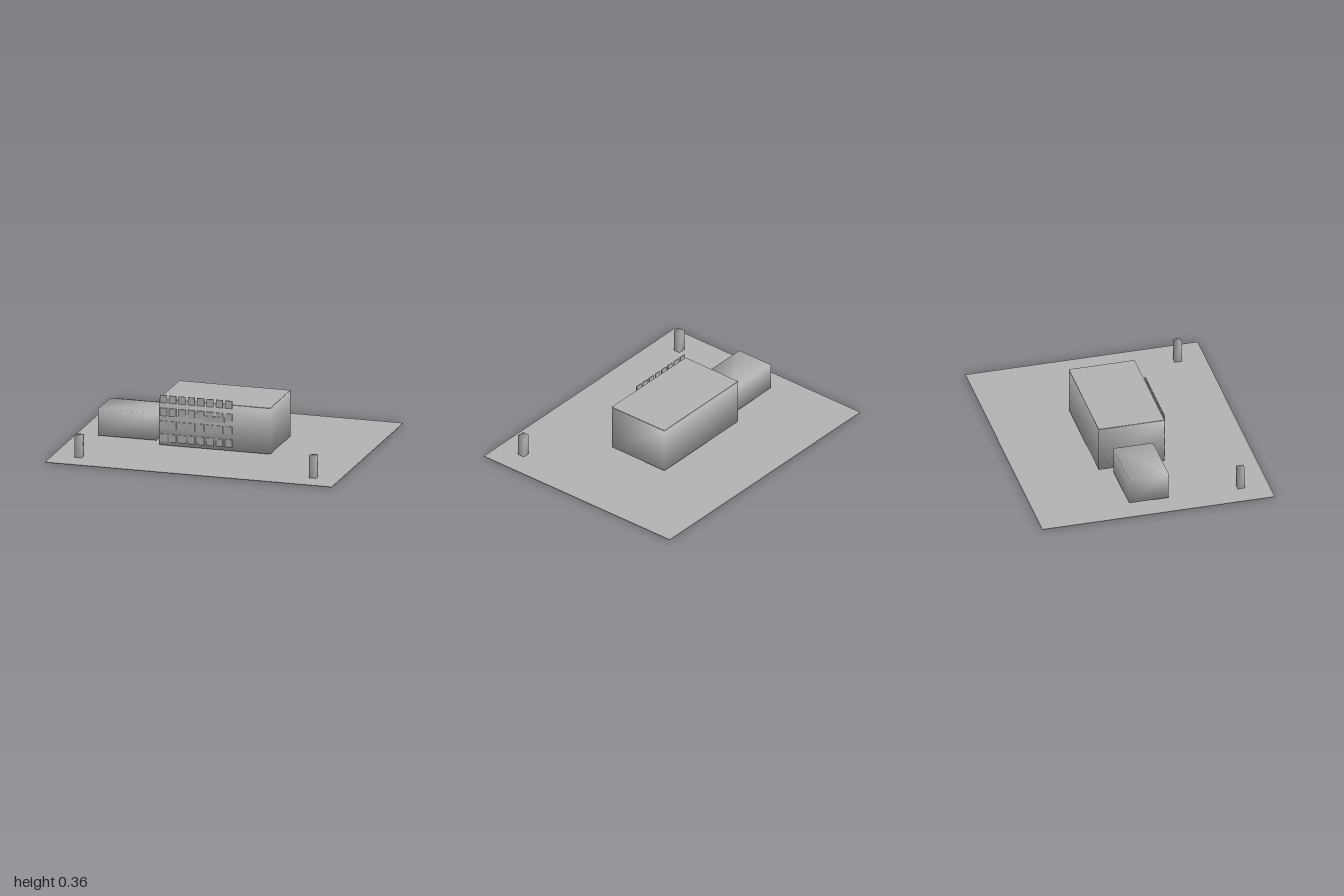
import * as THREE from 'three';
import { mergeVertices } from 'three/addons/utils/BufferGeometryUtils.js';

const grey = new THREE.MeshStandardMaterial({ color: 0xb2b2b2 });
grey.name = 'concrete grey';

// Box given by its lower and upper corners; soft boxes share corner normals
function box(name, [x0, y0, z0], [x1, y1, z1], soft = false) {
  let geometry = new THREE.BoxGeometry(x1 - x0, y1 - y0, z1 - z0);
  if (soft) {
    geometry.deleteAttribute('normal');
    geometry.deleteAttribute('uv');
    geometry = mergeVertices(geometry);
    geometry.computeVertexNormals();
  }
  const mesh = new THREE.Mesh(geometry, grey);
  mesh.name = name;
  mesh.position.set((x0 + x1) / 2, (y0 + y1) / 2, (z0 + z1) / 2);
  return mesh;
}

export function createModel() {
  const model = new THREE.Group();
  model.name = 'schoolSite';

  // Ground slab
  model.add(box('ground', [-1, 0, -0.8], [1, 0.004, 0.8]));

  // Main block with a flat roof plate
  model.add(box('mainBuilding', [-0.39, 0.012, -0.25], [0.385, 0.329, 0.203], true));
  model.add(box('roof', [-0.39, 0.328, -0.25], [0.385, 0.331, 0.203]));

  // Side annex
  model.add(box('annex', [-0.843, 0.012, -0.162], [-0.437, 0.196, 0.112], true));

  // Window grid on the front; the top row rises past the roof line
  const windows = new THREE.Group();
  windows.name = 'windows';
  for (let row = 0; row < 4; row++) {
    for (let col = 0; col < 8; col++) {
      const x = -0.382 + col * 0.065;
      const y = 0.037 + row * 0.0895;
      windows.add(box('window', [x, y, 0.202], [x + 0.048, y + 0.053, 0.209]));
    }
  }
  model.add(windows);

  // Plain board over the entrance
  model.add(box('entranceBoard', [-0.077, 0.203, 0.203], [0.067, 0.24, 0.212]));

  // Gate posts
  for (const [name, x] of [['rightGatePost', -0.82], ['leftGatePost', 0.815]]) {
    model.add(box(name, [x - 0.025, 0.002, 0.587], [x + 0.025, 0.157, 0.636], true));
  }
  return model;
}
